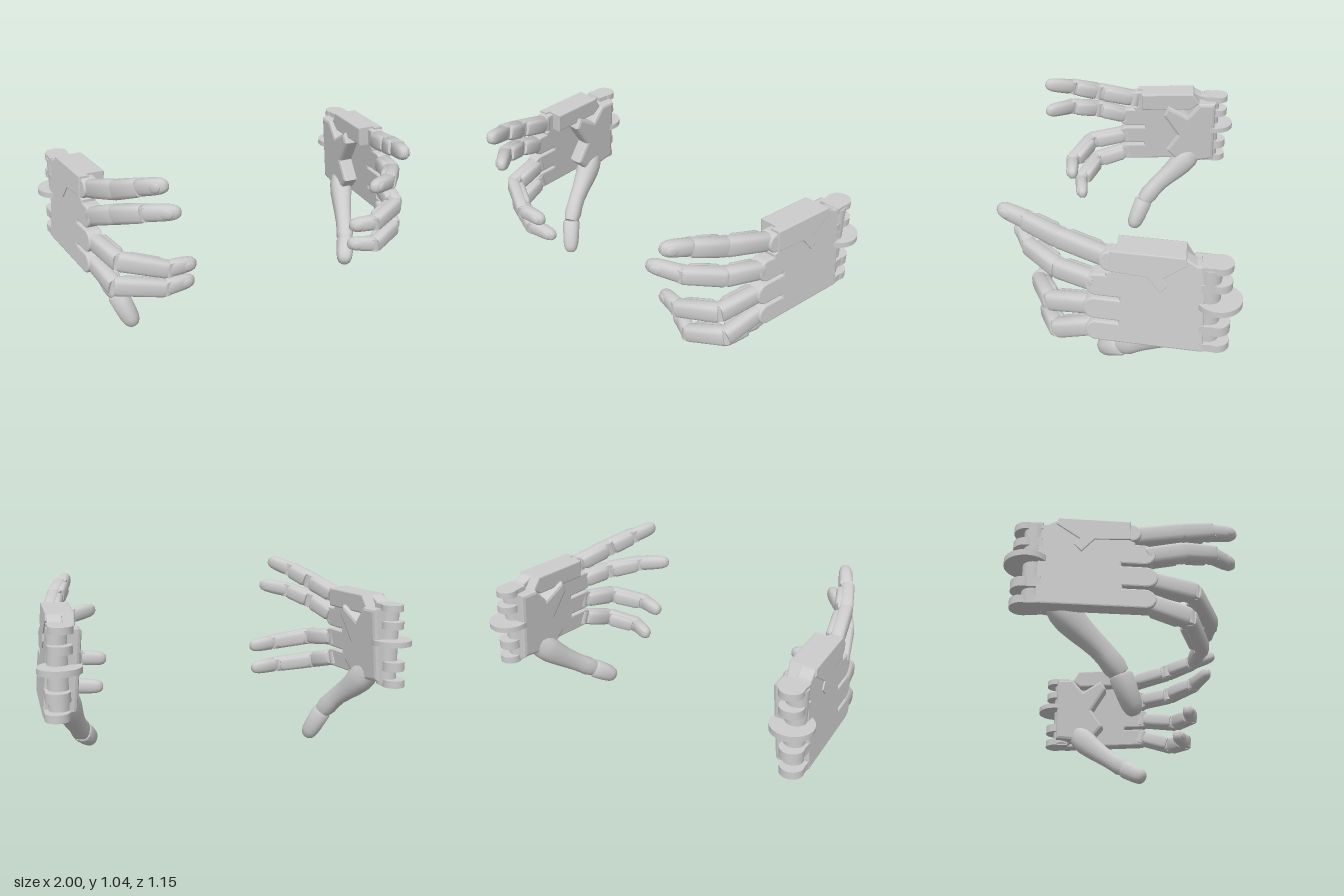
import * as THREE from 'three';
import { toCreasedNormals } from 'three/addons/utils/BufferGeometryUtils.js';

const material = new THREE.MeshStandardMaterial({ color: 0xcccccc });
const V = (a) => new THREE.Vector3(...a);
const RING = 20;

// Leans the flat palm parts: the outer face slopes inward upwards and forwards
const lean = new THREE.Matrix4().set(1, -0.09, -0.1, 0.9685, 0, 1, 0, 0, 0, 0, 1, 0, 0, 0, 0, 1);

// Axes along a limb: t forwards, l sideways, n to the back of the hand
function frame(a, b) {
  const t = b.clone().sub(a).normalize();
  const l = new THREE.Vector3(0, 1, 0).addScaledVector(t, -t.y).normalize();
  return { t, l, n: l.clone().cross(t) };
}

// Skin over soft-cornered sections; each section is { c, l, n, w, h }
function loft(sections, power = 0.6) {
  const pos = [], index = [];
  const soft = (v) => Math.sign(v) * Math.abs(v) ** power;
  for (const { c, l, n, w, h } of sections) {
    for (let j = 0; j < RING; j++) {
      const a = (j / RING) * Math.PI * 2;
      const p = c.clone().addScaledVector(n, soft(Math.cos(a)) * h).addScaledVector(l, soft(Math.sin(a)) * w);
      pos.push(p.x, p.y, p.z);
    }
  }
  const last = sections.length - 1, c0 = pos.length / 3;
  pos.push(...sections[0].c.toArray(), ...sections[last].c.toArray());
  for (let j = 0; j < RING; j++) {
    const k = (j + 1) % RING;
    for (let i = 0; i < last; i++) {
      const a = i * RING, b = a + RING;
      index.push(a + j, a + k, b + k, a + j, b + k, b + j);
    }
    index.push(c0, k, j, c0 + 1, last * RING + j, last * RING + k);
  }
  const g = new THREE.BufferGeometry();
  g.setAttribute('position', new THREE.Float32BufferAttribute(pos, 3));
  g.setIndex(index);
  return toCreasedNormals(g, 0.7);
}

// One straight limb piece, moved by lift along n; steps are [position along it, scale]
function limb(a, b, w0, w1, h0, h1, steps, power, lift = 0) {
  const f = frame(a, b);
  return loft(steps.map(([s, k]) => ({
    c: a.clone().lerp(b, s).addScaledVector(f.n, lift), l: f.l, n: f.n,
    w: k * (w0 + (w1 - w0) * s), h: k * (h0 + (h1 - h0) * s),
  })), power);
}
const SHELL = [[-0.02, 0.88], [0.04, 1], [0.96, 1], [1.02, 0.92]];
const PAD = [[0.12, 0.8], [0.2, 1], [0.78, 1], [0.86, 0.8]];
const TIP = [[0, 0.85], [0.06, 0.97], [0.55, 1], [0.76, 0.96], [0.9, 0.8], [0.98, 0.5], [1, 0.2]];

// Plate drawn in (z, y), thickened inwards
function plate(shape, depth, bevel = 0.008) {
  const g = new THREE.ExtrudeGeometry(shape, {
    depth: depth - 2 * bevel, bevelEnabled: true, bevelThickness: bevel, bevelSize: bevel,
    bevelOffset: -bevel, bevelSegments: 2, curveSegments: 10,
  });
  return g.translate(0, 0, bevel).rotateY(-Math.PI / 2).applyMatrix4(lean);
}

function buildHand(side, name, pose) {
  const hand = new THREE.Group();
  hand.name = name;

  // Adds a part, mirrored with its winding kept right for the other hand
  function add(g, partName, parent = hand) {
    if (side < 0) {
      g.scale(-1, 1, 1);
      const n = g.index ? g.index.count : g.attributes.position.count;
      const order = g.index ? Array.from(g.index.array) : Array.from({ length: n }, (_, i) => i);
      for (let i = 0; i < n; i += 3) [order[i + 1], order[i + 2]] = [order[i + 2], order[i + 1]];
      g.setIndex(order);
    }
    const m = new THREE.Mesh(g, material);
    m.name = partName;
    parent.add(m);
  }

  // Palm plate with four round knuckle lobes: bottom, top, front end, slot depth above
  const outline = new THREE.Shape();
  outline.moveTo(-0.4, 0.417);
  for (const [y0, y1, end, slot] of [[0.417, 0.521, 0.145, -0.01], [0.535, 0.647, 0.155, -0.015],
    [0.661, 0.775, 0.145, 0.05], [0.795, 0.895, 0.08, 0]]) {
    const r = (y1 - y0) / 2;
    outline.lineTo(end - r, y0);
    outline.absarc(end - r, y0 + r, r, -Math.PI / 2, Math.PI / 2, false);
    outline.lineTo(slot, y1);
    if (y1 < 0.8) outline.lineTo(slot, y1 + 0.014);
  }
  for (const p of [[-0.03, 0.905], [-0.31, 0.9], [-0.36, 0.87], [-0.4, 0.865]]) outline.lineTo(...p);
  add(plate(outline, 0.075), 'palmPlate');

  // Raised cover and deep block over the top edge
  const poly = (pts) => new THREE.Shape(pts.map((p) => new THREE.Vector2(...p)));
  const cover = plate(poly([[0.03, 0.8], [-0.14, 0.79], [-0.2, 0.715], [-0.235, 0.755], [-0.21, 0.79], [-0.32, 0.87], [-0.31, 0.905], [0.03, 0.905]]), 0.05, 0.004);
  add(cover.translate(0.006, 0, 0), 'edgeCover');
  add(plate(poly([[0.0, 0.8], [-0.3, 0.8], [-0.35, 0.84], [-0.31, 0.905], [0.0, 0.905]]), 0.135), 'edgeBlock');

  // Heel of the palm: a branching cover on the inside, from the wrist to the thumb
  const heel = plate(poly([[-0.45, 0.45], [-0.24, 0.42], [-0.15, 0.52], [-0.22, 0.63], [-0.13, 0.77],
    [-0.16, 0.83], [-0.28, 0.76], [-0.35, 0.845], [-0.45, 0.845]]), 0.1, 0.018);
  add(heel.translate(-0.06, 0, 0), 'palmHeel');

  // Wrist hinge: core, lugs and the large middle disc
  const turned = (r, y0, y1, x, z) => new THREE.CylinderGeometry(r, r, y1 - y0, 32).translate(x, (y0 + y1) / 2, z);
  add(turned(0.052, 0.43, 0.855, 0.893, -0.42), 'wristCore');
  for (const [y0, y1] of [[0.42, 0.46], [0.51, 0.56], [0.74, 0.78], [0.835, 0.87]]) {
    const x = 0.895 - 0.07 * (y0 - 0.65);
    add(turned(0.06, y0, y1, x, -0.462), 'wristLug');
    add(new THREE.BoxGeometry(0.11, y1 - y0, 0.08).translate(x, (y0 + y1) / 2, -0.42), 'wristLugWeb');
  }
  add(turned(0.107, 0.65, 0.68, 0.893, pose.discZ), 'wristDisc');

  // Fingers: near-continuous outer shells, with pads and open joints inside
  pose.fingers.forEach((path, i) => {
    const finger = new THREE.Group();
    finger.name = ['indexFinger', 'middleFinger', 'ringFinger', 'littleFinger'][i];
    hand.add(finger);
    const p = path.map(V);
    const W = [0.047, 0.049, 0.044, 0.037], H = [0.036, 0.037, 0.035, 0.031];
    for (let k = 0; k < 3; k++) {
      const a = p[k], b = p[k + 1], f = frame(a, b);
      if (k < 2) {
        add(limb(a, b, W[k], W[k + 1], H[k], H[k + 1], SHELL, 0.6, 0.008), 'linkShell', finger);
        add(limb(a, b, W[k] * 0.88, W[k + 1] * 0.88, 0.03, 0.027, PAD, 0.6, -0.02), 'linkPad', finger);
      } else {
        add(limb(a, b, W[2], W[3], 0.039, H[3], TIP, 0.75), 'fingertip', finger);
      }
      // Hinge barrel across the finger
      const turn = new THREE.Matrix4().makeBasis(f.n, f.l, f.n.clone().cross(f.l));
      const barrel = new THREE.CylinderGeometry(0.033, 0.033, W[k] * 1.6, 20);
      add(barrel.applyMatrix4(turn.setPosition(a)), 'fingerHinge', finger);
      // Nail on the back of the fingertip
      if (k === 2) {
        const nail = new THREE.SphereGeometry(1, 16, 10).scale(0.01, 0.025, 0.036);
        const at = a.clone().lerp(b, 0.66).addScaledVector(f.n, 0.028);
        add(nail.applyMatrix4(turn.setPosition(at)), 'fingernail', finger);
      }
    }
  });

  // Thumb: one swelling lower link, then the tip
  const thumb = new THREE.Group();
  thumb.name = 'thumb';
  hand.add(thumb);
  const q = pose.thumb.map(V);
  const curve = new THREE.CatmullRomCurve3(q.slice(0, 4));
  const girth = [0.06, 0.074, 0.074, 0.066, 0.058, 0.053, 0.053, 0.056, 0.046];
  add(loft(girth.map((r, i) => {
    const s = i / (girth.length - 1), c = curve.getPoint(s);
    return { c, ...frame(c, c.clone().add(curve.getTangent(s))), w: r, h: r * 0.88 };
  }), 0.85), 'thumbLink', thumb);
  add(limb(q[3], q[4], 0.058, 0.047, 0.054, 0.044, TIP, 0.85), 'thumbTip', thumb);
  return hand;
}

export function createModel() {
  const model = new THREE.Group();
  model.name = 'robotHands';
  model.add(buildHand(1, 'leftHand', {
    discZ: -0.465,
    fingers: [
      [[0.835, 0.845, 0.05], [0.77, 0.89, 0.27], [0.705, 0.93, 0.43], [0.65, 0.957, 0.57]],
      [[0.855, 0.718, 0.1], [0.79, 0.735, 0.28], [0.66, 0.757, 0.435], [0.505, 0.775, 0.515]],
      [[0.86, 0.59, 0.1], [0.8, 0.55, 0.32], [0.61, 0.515, 0.405], [0.475, 0.505, 0.37]],
      [[0.865, 0.468, 0.1], [0.82, 0.4, 0.29], [0.65, 0.36, 0.365], [0.515, 0.36, 0.3]],
    ],
    thumb: [[0.85, 0.49, -0.32], [0.805, 0.385, -0.225], [0.745, 0.27, -0.09], [0.705, 0.205, -0.005], [0.63, 0.12, 0.11]],
  }));
  model.add(buildHand(-1, 'rightHand', {
    discZ: -0.453,
    fingers: [
      [[0.835, 0.845, 0.05], [0.775, 0.91, 0.27], [0.71, 0.965, 0.42], [0.63, 1.01, 0.56]],
      [[0.855, 0.72, 0.1], [0.79, 0.79, 0.28], [0.7, 0.838, 0.43], [0.565, 0.865, 0.55]],
      [[0.86, 0.59, 0.1], [0.8, 0.56, 0.32], [0.59, 0.515, 0.415], [0.437, 0.505, 0.395]],
      [[0.865, 0.468, 0.1], [0.82, 0.415, 0.29], [0.59, 0.385, 0.365], [0.425, 0.38, 0.335]],
    ],
    thumb: [[0.85, 0.49, -0.32], [0.815, 0.385, -0.225], [0.765, 0.275, -0.1], [0.725, 0.18, -0.02], [0.66, 0.005, 0.05]],
  }));
  return model;
}
